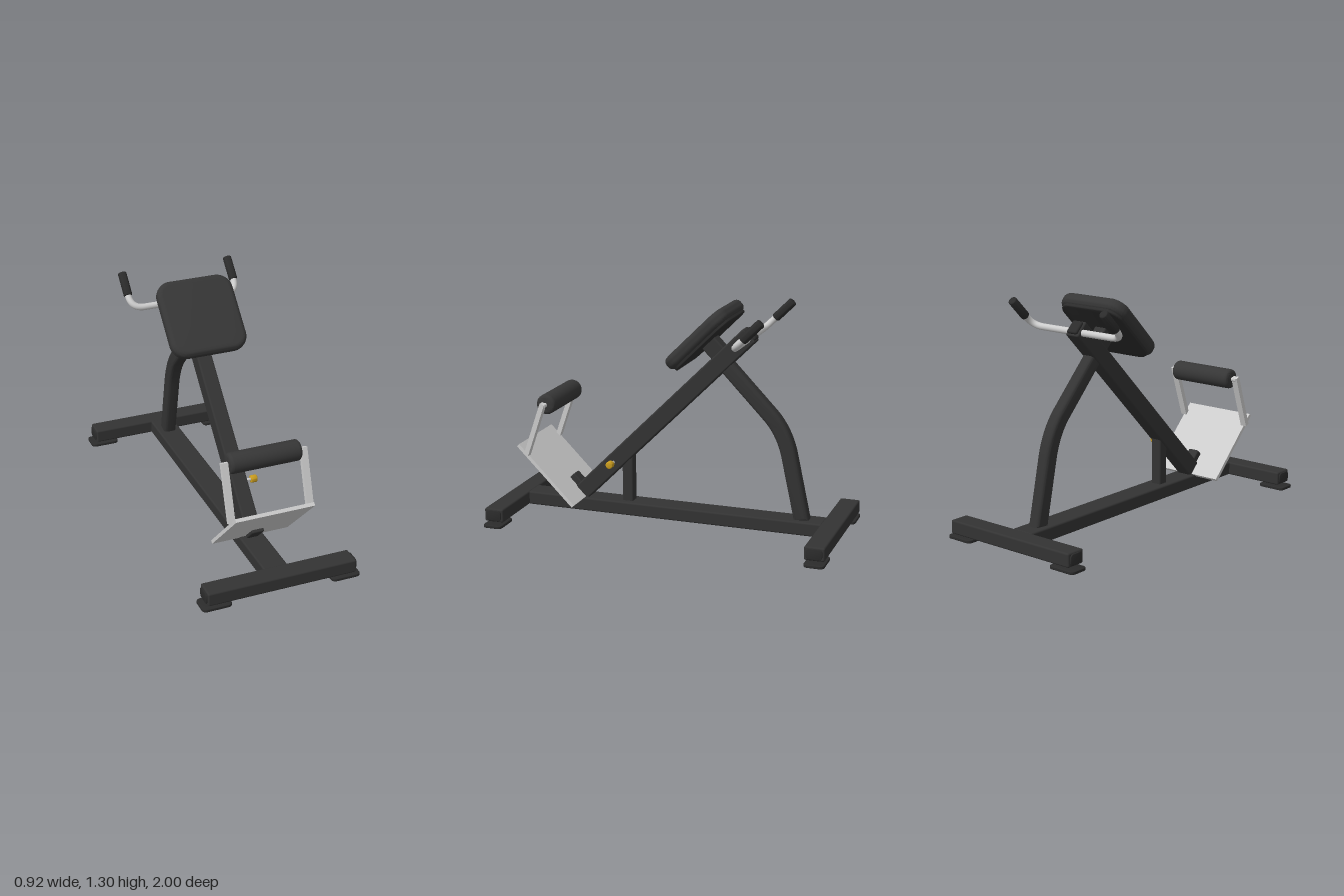
import * as THREE from 'three';
import { RoundedBoxGeometry } from 'three/addons/geometries/RoundedBoxGeometry.js';
import { toCreasedNormals } from 'three/addons/utils/BufferGeometryUtils.js';

const mat = (name, color) => {
  const m = new THREE.MeshStandardMaterial({ color });
  m.name = name;
  return m;
};

export function createModel() {
  const frame = mat('frame charcoal', 0x333333);
  const padding = mat('padding', 0x363636);
  const rubber = mat('rubber', 0x2b2b2b);
  const metal = mat('bright metal', 0xcccccc);
  const gold = mat('gold', 0xc89b1e);

  const model = new THREE.Group();
  model.name = 'backExtensionBench';

  const add = (parent, name, geo, material, x = 0, y = 0, z = 0) => {
    const mesh = new THREE.Mesh(geo, material);
    mesh.name = name;
    mesh.position.set(x, y, z);
    parent.add(mesh);
    return mesh;
  };
  const rbox = (w, h, d, r = 0.01) => new RoundedBoxGeometry(w, h, d, 3, r);

  // Rounded cushion or plate lying in XY, centred, with softened rims
  const slab = (w, h, depth, r, bevel) => {
    const s = new THREE.Shape();
    const x = w / 2, y = h / 2;
    s.moveTo(-x + r, -y);
    s.lineTo(x - r, -y);
    s.absarc(x - r, -y + r, r, -Math.PI / 2, 0);
    s.lineTo(x, y - r);
    s.absarc(x - r, y - r, r, 0, Math.PI / 2);
    s.lineTo(-x + r, y);
    s.absarc(-x + r, y - r, r, Math.PI / 2, Math.PI);
    s.lineTo(-x, -y + r);
    s.absarc(-x + r, -y + r, r, Math.PI, Math.PI * 1.5);
    const g = new THREE.ExtrudeGeometry(s, {
      depth: depth - 2 * bevel, bevelThickness: bevel, bevelSize: bevel,
      bevelOffset: -bevel, bevelSegments: 6, curveSegments: 10,
    });
    g.translate(0, 0, bevel - depth / 2);
    return toCreasedNormals(g, 0.6);
  };

  // Round bar along x with rounded ends
  const roundBar = (length, radius, edge) => {
    const pts = [new THREE.Vector2(0, -length / 2)];
    for (let i = 0; i <= 6; i++) {
      const a = (i / 6) * Math.PI / 2;
      pts.push(new THREE.Vector2(radius - edge + edge * Math.sin(a), -length / 2 + edge - edge * Math.cos(a)));
    }
    for (const p of pts.slice().reverse()) pts.push(new THREE.Vector2(p.x, -p.y));
    return toCreasedNormals(new THREE.LatheGeometry(pts, 32).rotateZ(Math.PI / 2), 0.6);
  };

  // Base: long beam, two cross bars, end caps and feet
  add(model, 'baseBeam', rbox(0.14, 0.078, 1.78), frame, 0, 0.07, 0);
  for (const end of [1, -1]) {
    add(model, 'crossBar', rbox(0.86, 0.078, 0.115), frame, 0, 0.07, end * 0.94);
    for (const side of [1, -1]) {
      const cap = add(model, 'barEndCap', slab(0.09, 0.062, 0.01, 0.02, 0.003), rubber, side * 0.432, 0.07, end * 0.94);
      cap.rotation.y = side * Math.PI / 2;
      const foot = add(model, 'foot', slab(0.17, 0.115, 0.017, 0.025, 0.004), rubber, side * 0.375, 0.0085, end * 0.9425);
      foot.rotation.x = -Math.PI / 2;
      add(model, 'footBolt', new THREE.CylinderGeometry(0.012, 0.012, 0.03, 16), rubber, side * 0.375, 0.025, end * 0.94);
    }
  }

  // Bent rear leg: a band swept along a side curve, then thickened
  const V = (x, y) => new THREE.Vector2(x, y);
  const spine = [V(0.28, 0.99), V(0.57, 0.69)];
  const bend = new THREE.QuadraticBezierCurve(V(0.57, 0.69), V(0.655, 0.6), V(0.685, 0.46));
  spine.push(...bend.getPoints(12).slice(1), V(0.764, 0.1));
  const outline = [];
  const half = 0.043;
  for (const s of [1, -1]) {
    const edge = spine.map((p, i) => {
      const t = spine[Math.min(i + 1, spine.length - 1)].clone().sub(spine[Math.max(i - 1, 0)]).normalize();
      return V(p.x + s * half * t.y, p.y - s * half * t.x);
    });
    outline.push(...(s > 0 ? edge : edge.reverse()));
  }
  const legGeo = new THREE.ExtrudeGeometry(new THREE.Shape(outline), {
    depth: 0.036, bevelThickness: 0.02, bevelSize: 0.02, bevelOffset: -0.02, bevelSegments: 5,
  });
  legGeo.translate(0, 0, -0.018).rotateY(Math.PI / 2);
  add(model, 'rearLeg', toCreasedNormals(legGeo, 0.6), frame);

  // Short front post under the inclined beam
  add(model, 'frontPost', rbox(0.065, 0.29, 0.065), frame, 0, 0.245, 0.273);

  // Inclined assembly: local y runs up the slope, local z points out of the pad
  const incline = new THREE.Group();
  incline.name = 'inclinedAssembly';
  incline.rotation.x = -Math.PI / 4;
  model.add(incline);

  add(incline, 'mainBeam', rbox(0.09, 1.44, 0.1), frame, 0, 0.405, 0.488);
  add(incline, 'beamEndCap', rbox(0.07, 0.03, 0.08), rubber, 0, 1.125, 0.488);

  // Back pad with stepped backing and mount
  add(incline, 'padCushion', slab(0.454, 0.46, 0.075, 0.09, 0.03), padding, 0, 0.922, 0.664);
  add(incline, 'padBacking', slab(0.42, 0.426, 0.03, 0.08, 0.008), rubber, 0, 0.922, 0.627);
  add(incline, 'padMount', rbox(0.08, 0.1, 0.1), frame, 0, 0.915, 0.575);

  // Handlebar with upturned ends and grips
  const P = (x, y) => new THREE.Vector3(x, y, 0.478);
  const path = new THREE.CurvePath();
  path.add(new THREE.LineCurve3(P(-0.325, 1.25), P(-0.325, 1.18)));
  path.add(new THREE.QuadraticBezierCurve3(P(-0.325, 1.18), P(-0.325, 1.1), P(-0.245, 1.1)));
  path.add(new THREE.LineCurve3(P(-0.245, 1.1), P(0.245, 1.1)));
  path.add(new THREE.QuadraticBezierCurve3(P(0.245, 1.1), P(0.325, 1.1), P(0.325, 1.18)));
  path.add(new THREE.LineCurve3(P(0.325, 1.18), P(0.325, 1.25)));
  add(incline, 'handlebar', new THREE.TubeGeometry(path, 100, 0.019, 16), metal);
  for (const side of [1, -1]) {
    add(incline, 'handGrip', roundBar(0.145, 0.025, 0.008).rotateZ(Math.PI / 2), rubber, side * 0.325, 1.253, 0.478);
  }

  // Foot plate and its clamp at the lower end
  add(incline, 'footPlate', new THREE.BoxGeometry(0.454, 0.02, 0.475), metal, 0, -0.306, 0.69);
  add(incline, 'plateClamp', rbox(0.07, 0.075, 0.12, 0.008), frame, 0, -0.297, 0.54);

  // Ankle roller on two side arms
  const low = new THREE.Vector2(0.815, 0.39), high = new THREE.Vector2(0.708, 0.7);
  for (const side of [1, -1]) {
    const arm = add(model, 'rollerArm', new THREE.BoxGeometry(0.038, low.distanceTo(high), 0.028), metal,
      side * 0.227, (low.y + high.y) / 2, (low.x + high.x) / 2);
    arm.rotation.x = Math.atan2(high.x - low.x, high.y - low.y);
  }
  add(model, 'ankleRoller', roundBar(0.412, 0.058, 0.02), padding, 0, 0.688, 0.705);
  add(model, 'rollerAxle', roundBar(0.47, 0.012, 0.003), metal, 0, 0.688, 0.705);

  // Adjustment pin with gold knob
  add(model, 'pinStem', roundBar(0.06, 0.009, 0.002), metal, -0, 0.337, 0.355).position.x = 0.06;
  add(model, 'pinKnob', roundBar(0.038, 0.021, 0.005), gold, 0.098, 0.337, 0.355);

  return model;
}
